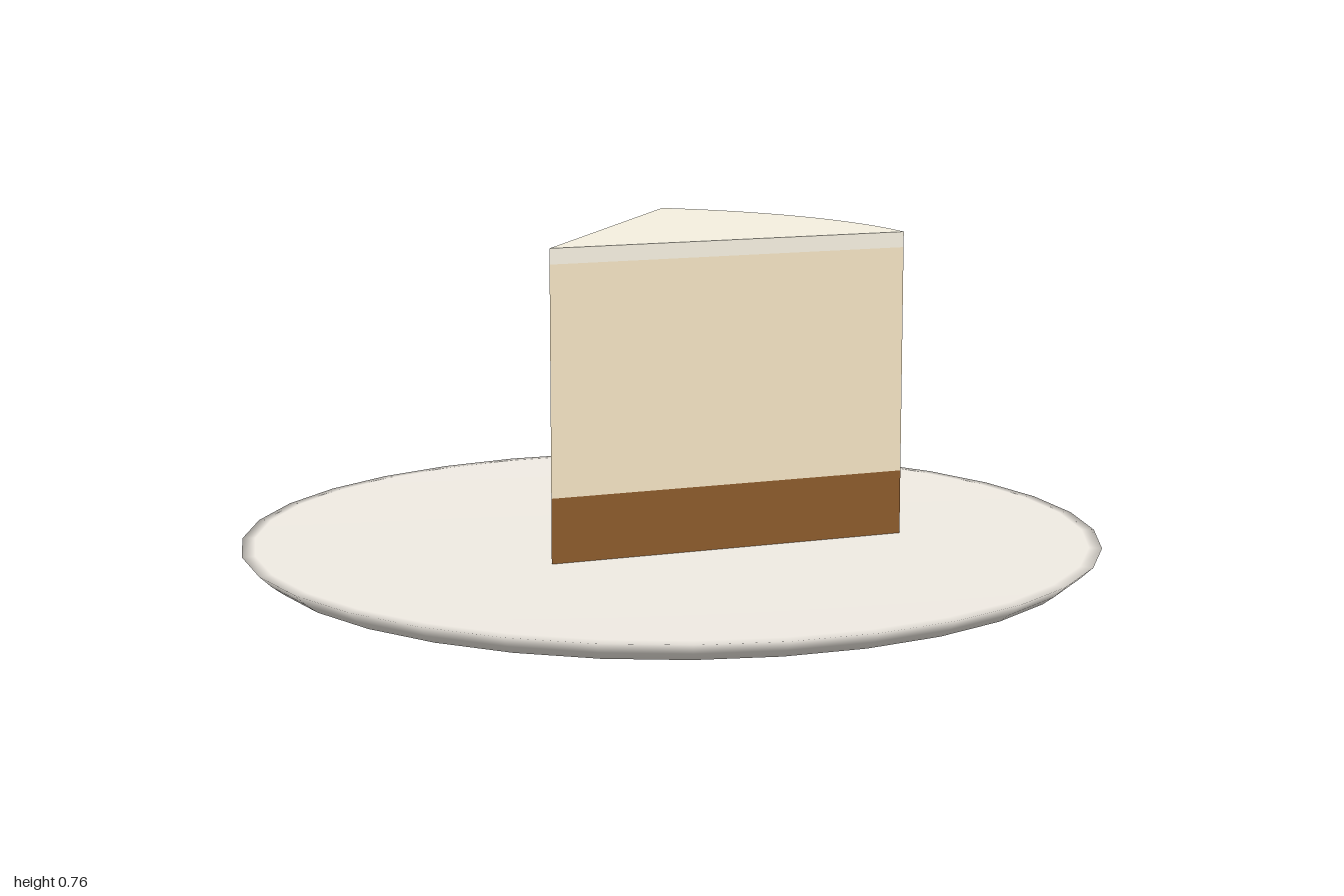
import * as THREE from 'three';
import { toCreasedNormals } from 'three/addons/utils/BufferGeometryUtils.js';

const APEX_X = -0.397, RADIUS = 0.867, HALF_ANGLE = 0.453;

function addPart(group, name, geometry, color) {
  const mesh = new THREE.Mesh(geometry, new THREE.MeshStandardMaterial({ color }));
  mesh.name = name;
  group.add(mesh);
}

// One wedge-shaped layer between two heights
function wedge(y0, y1) {
  const shape = new THREE.Shape();
  shape.moveTo(APEX_X, 0);
  shape.lineTo(
    APEX_X + RADIUS * Math.cos(HALF_ANGLE),
    -RADIUS * Math.sin(HALF_ANGLE)
  );
  shape.absarc(APEX_X, 0, RADIUS, -HALF_ANGLE, HALF_ANGLE, false);
  shape.closePath();
  const geometry = new THREE.ExtrudeGeometry(shape, {
    depth: y1 - y0, bevelEnabled: false, curveSegments: 16
  });
  geometry.rotateX(-Math.PI / 2).translate(0, y0, 0);
  return toCreasedNormals(geometry, 0.5);
}

export function createModel() {
  const model = new THREE.Group();
  model.name = 'cakeSliceOnPlate';

  // Thin, softly shaded plate: underside, slanted rim, barely dished top
  const profile = [
    [0, 0], [0.9, 0], [0.945, 0.002], [0.972, 0.022],
    [1, 0.048], [0.97, 0.049], [0.6, 0.045], [0, 0.045]
  ].map(([r, y]) => new THREE.Vector2(r, y));
  addPart(model, 'plate', new THREE.LatheGeometry(profile, 32), 0xf0ebe3);

  // Cake layers, bottom to top
  const slice = new THREE.Group();
  slice.name = 'cakeSlice';
  addPart(slice, 'crust', wedge(0.045, 0.195), 0x8b5a2b);
  addPart(slice, 'filling', wedge(0.195, 0.722), 0xf3e3c3);
  addPart(slice, 'topping', wedge(0.722, 0.758), 0xf5f0e0);
  model.add(slice);

  return model;
}
